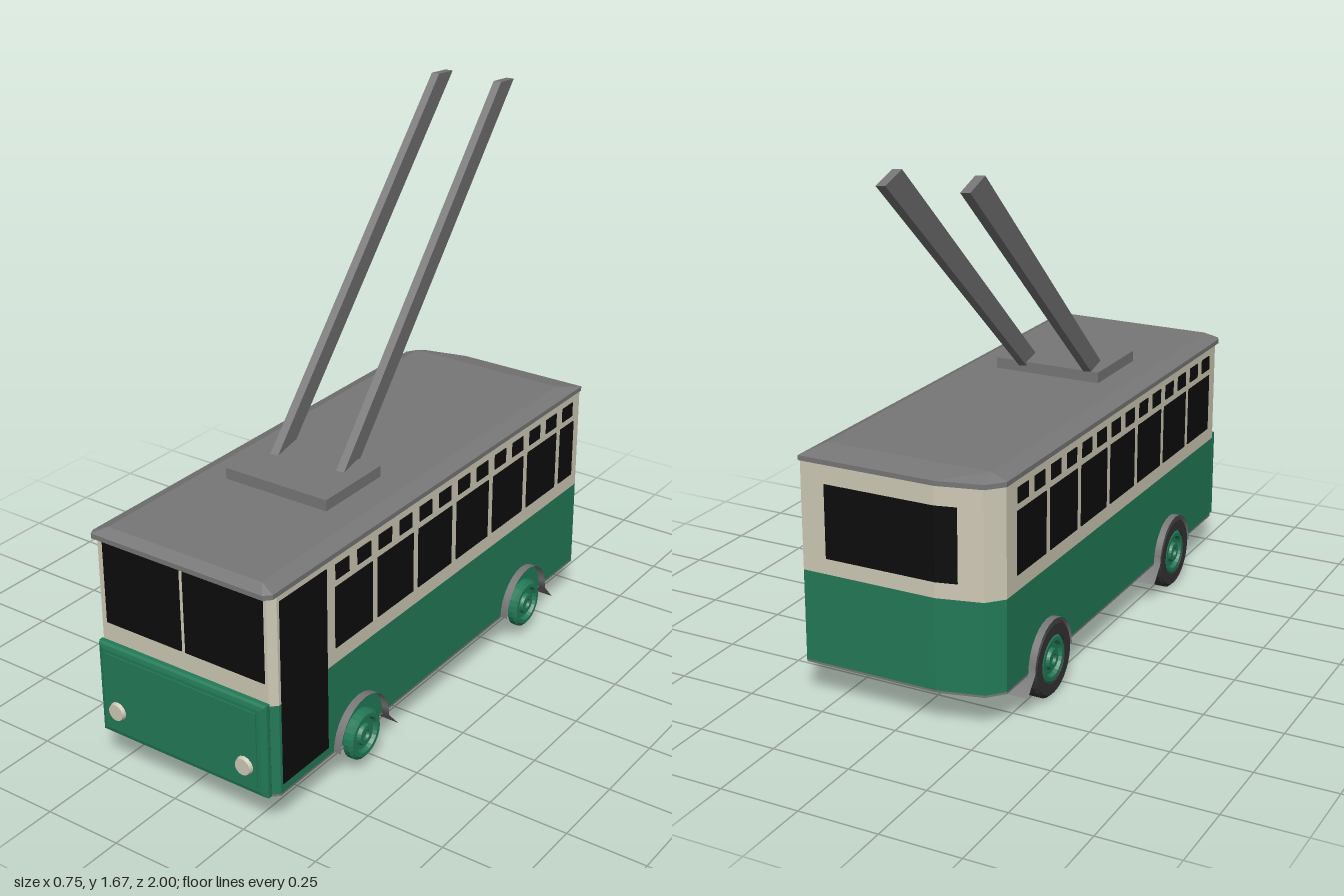
import * as THREE from 'three';
import { ConvexGeometry } from 'three/addons/geometries/ConvexGeometry.js';

const mat = (name, color) => {
  const m = new THREE.MeshStandardMaterial({ color });
  m.name = name;
  return m;
};

export function createModel() {
  const root = new THREE.Group();
  const green = mat('green paint', 0x237a58);
  const cream = mat('cream paint', 0xcfcab6);
  const grey = mat('grey metal', 0x777777);
  const sheet = mat('grey sheet', 0x777777);
  sheet.side = THREE.DoubleSide;
  const glass = mat('black glass', 0x0c0c0c);
  const rubber = mat('dark rubber', 0x343434);

  const add = (name, geo, material, x = 0, y = 0, z = 0, parent = root) => {
    const m = new THREE.Mesh(geo, material);
    m.name = name;
    m.position.set(x, y, z);
    parent.add(m);
    return m;
  };
  const box = (name, material, x0, x1, y0, y1, z0, z1) =>
    add(name, new THREE.BoxGeometry(x1 - x0, y1 - y0, z1 - z0), material,
      (x0 + x1) / 2, (y0 + y1) / 2, (z0 + z1) / 2);

  // Body footprint as x, z pairs; the rear is chamfered on one side
  const foot = [[-0.275, 0.96], [0.32, 0.96], [0.34, 0.94], [0.34, -0.685],
    [-0.1, -0.685], [-0.24, -0.65], [-0.285, -0.6], [-0.285, 0.94]];
  const outline = new THREE.Shape(foot.map(([x, z]) => new THREE.Vector2(x, -z)));
  const slab = (name, material, y0, y1) => {
    const g = new THREE.ExtrudeGeometry(outline, { depth: y1 - y0, bevelEnabled: false });
    g.rotateX(-Math.PI / 2);
    add(name, g, material, 0, y0, 0);
  };
  slab('floor', grey, 0.115, 0.122);
  slab('lowerBody', green, 0.122, 0.41);
  slab('upperBody', cream, 0.41, 0.757);

  // Roof: overhanging eaves, sloped edges and a sloped rear
  const clamp = THREE.MathUtils.clamp;
  const roofPoints = [];
  for (const [x, z] of foot) {
    const front = z > 0.9 ? 0.02 : -0.004;
    for (const y of [0.75, 0.765])
      roofPoints.push(new THREE.Vector3(x + Math.sign(x) * 0.004, y, z + front));
    roofPoints.push(new THREE.Vector3(clamp(x, -0.24, 0.3), 0.785, clamp(z, -0.6, 0.95)));
  }
  add('roof', new ConvexGeometry(roofPoints), grey);

  // Front: bevelled panel, lamps and split windscreen
  const panel = new THREE.Shape();
  panel.moveTo(-0.262, 0.137);
  panel.lineTo(0.307, 0.137);
  panel.lineTo(0.307, 0.403);
  panel.lineTo(-0.262, 0.403);
  add('frontPanel', new THREE.ExtrudeGeometry(panel, {
    depth: 0.014, bevelSize: 0.017, bevelThickness: 0.01, bevelSegments: 2,
  }), green, 0, 0, 0.961);
  box('frontPanelFace', green, -0.25, 0.295, 0.148, 0.392, 0.98, 0.989);
  for (const x of [-0.21, 0.253]) {
    const lamp = new THREE.CylinderGeometry(0.026, 0.032, 0.018, 14);
    lamp.rotateX(Math.PI / 2);
    add('headlamp', lamp, cream, x, 0.21, 0.991);
  }
  box('windscreen', glass, -0.255, 0.02, 0.48, 0.745, 0.958, 0.964);
  box('windscreen', glass, 0.034, 0.31, 0.48, 0.745, 0.958, 0.964);

  // Side windows, small upper lights and the door
  const pane = (name, side, y0, y1, z0, z1) => side > 0
    ? box(name, glass, 0.337, 0.343, y0, y1, z0, z1)
    : box(name, glass, -0.288, -0.282, y0, y1, z0, z1);
  for (const side of [1, -1]) {
    for (let i = side > 0 ? 0 : -1; i < (side > 0 ? 7 : 6); i++) {
      const z = 0.68 - i * 0.2075;
      pane('sideWindow', side, 0.46, 0.655, Math.max(z - 0.18, -0.65), z);
    }
    for (let i = side > 0 ? 0 : -2; i < (side > 0 ? 13 : 12); i++) {
      const z = 0.645 - i * 0.1043;
      pane('upperLight', side, 0.677, 0.725, z - 0.032, z + 0.032);
    }
  }
  pane('door', 1, 0.15, 0.73, 0.72, 0.93);

  // Rear window, folded around the chamfer
  box('rearWindow', glass, -0.1, 0.26, 0.46, 0.69, -0.688, -0.682);
  const fold = add('rearWindowFold', new THREE.BoxGeometry(0.068, 0.23, 0.006), glass,
    -0.133, 0.575, -0.677);
  fold.rotation.y = Math.atan2(0.035, 0.14);

  // Hub with stepped rings, facing +x
  const hubGeo = new THREE.LatheGeometry([[0, 0], [0.078, 0], [0.078, 0.02], [0.068, 0.028],
    [0.056, 0.028], [0.05, 0.016], [0.034, 0.016], [0.03, 0.028], [0.016, 0.028], [0.012, 0.02],
    [0, 0.02]].map(p => new THREE.Vector2(...p)), 24).toNonIndexed();
  hubGeo.computeVertexNormals();
  hubGeo.rotateZ(-Math.PI / 2);

  // Tyre section revolved around the axle
  const tyreGeo = new THREE.LatheGeometry([[0.076, -0.04], [0.11, -0.04], [0.12, -0.03],
    [0.12, 0.03], [0.11, 0.04], [0.076, 0.04], [0.076, -0.04]]
    .map(p => new THREE.Vector2(...p)), 28).toNonIndexed();
  tyreGeo.computeVertexNormals();
  tyreGeo.rotateZ(-Math.PI / 2);

  // Mudguard: arched sheet ending in a slanted flap, across the full width
  const guard = [];
  for (let i = 0; i <= 14; i++) {
    const a = Math.PI * i / 14;
    guard.push([0.12 + 0.128 * Math.sin(a), 0.122 * Math.cos(a)]);
  }
  guard.push([0.066, -0.17]);
  const guardGeo = new THREE.PlaneGeometry(1, 1, 1, guard.length - 1);
  const gp = guardGeo.attributes.position;
  for (let i = 0; i < gp.count; i++) {
    const [y, z] = guard[Math.floor(i / 2)];
    gp.setXYZ(i, i % 2 ? 0.365 : -0.308, y, z);
  }
  guardGeo.computeVertexNormals();

  for (const z of [0.57, -0.345]) {
    const axle = new THREE.Group();
    axle.name = z > 0 ? 'frontWheels' : 'rearWheels';
    axle.position.z = z;
    root.add(axle);
    add('hub', hubGeo, green, 0.341, 0.12, 0, axle);
    add('tyre', tyreGeo, rubber, -0.268, 0.12, 0, axle);
    add('hub', hubGeo, green, -0.28, 0.12, 0, axle).rotation.y = Math.PI;
    add('innerHub', hubGeo, green, -0.28, 0.12, 0, axle);
    add('mudguard', guardGeo, sheet, 0, 0, 0, axle);
  }

  // Pole base and the two slanted current poles
  box('poleBase', grey, -0.158, 0.203, 0.783, 0.82, 0.26, 0.53);
  const pole = (bx, bz, tx, tz) => {
    const g = new THREE.BoxGeometry(0.026, 1, 0.125);
    g.translate(0, 0.5, -0.0625);
    g.rotateY(Math.atan2(bx - tx, bz - tz));
    const p = g.attributes.position;
    for (let i = 0; i < p.count; i++) {
      const t = p.getY(i), x = p.getX(i), z = p.getZ(i);
      p.setXYZ(i, x + bx + (tx - bx) * t, 0.8 + t * (0.87 + z * 0.15), z + bz + (tz - bz) * t);
    }
    const flat = g.toNonIndexed();
    flat.computeVertexNormals();
    add('currentPole', flat, grey);
  };
  pole(-0.09, 0.41, -0.345, -0.85);
  pole(0.135, 0.39, -0.12, -0.875);

  return root;
}
